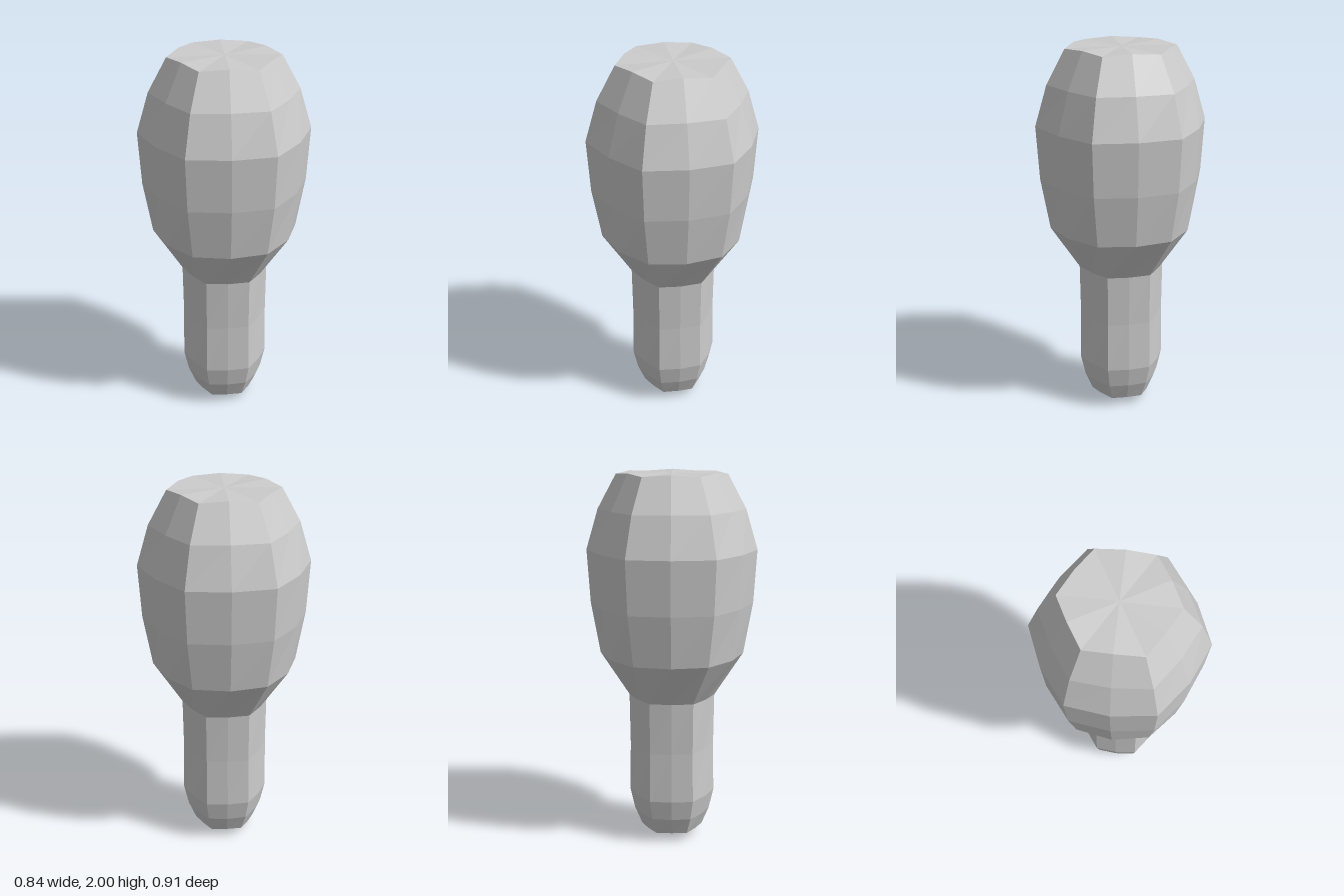
import * as THREE from 'three';

const SIDES = 12;

// Profile rings, bottom to top: [height, radius at the six ridges, radius at panel middles]
const RINGS = [
  [0.015, 0.085, 0.078],
  [0.045, 0.167, 0.15],
  [0.14, 0.207, 0.19],
  [0.25, 0.232, 0.213],
  [0.52, 0.228, 0.205],
  [0.8, 0.232, 0.213],
  [1.035, 0.386, 0.37],
  [1.31, 0.435, 0.408],
  [1.595, 0.453, 0.421],
  [1.81, 0.39, 0.354],
  [1.99, 0.293, 0.26],
];

// Closed surface through a run of rings, with an optional pole at either end
function loft(rings, bottomY, topY) {
  const pos = [];
  const index = [];
  rings.forEach(([y, ridge, middle], r) => {
    for (let i = 0; i < SIDES; i++) {
      const a = (i / SIDES) * Math.PI * 2;
      const rad = i % 2 ? middle : ridge;
      // the panel middles of the rim stand slightly proud of the ridges
      const lift = y === 1.99 && i % 2 ? 0.01 : 0;
      pos.push(Math.sin(a) * rad, y + lift, Math.cos(a) * rad);
    }
    if (r === 0) return;
    for (let i = 0; i < SIDES; i++) {
      const j = (i + 1) % SIDES;
      const a = (r - 1) * SIDES + i, b = (r - 1) * SIDES + j;
      const c = r * SIDES + j, d = r * SIDES + i;
      index.push(a, b, c, a, c, d);
    }
  });
  const addPole = (y, start, up) => {
    const p = pos.length / 3;
    pos.push(0, y, 0);
    for (let i = 0; i < SIDES; i++) {
      const a = start + i, b = start + ((i + 1) % SIDES);
      if (up) index.push(a, b, p);
      else index.push(b, a, p);
    }
  };
  if (bottomY !== undefined) addPole(bottomY, 0, false);
  if (topY !== undefined) addPole(topY, (rings.length - 1) * SIDES, true);
  const geo = new THREE.BufferGeometry();
  geo.setAttribute('position', new THREE.Float32BufferAttribute(pos, 3));
  geo.setIndex(index);
  const flat = geo.toNonIndexed();
  flat.computeVertexNormals();
  return flat;
}

export function createModel() {
  const group = new THREE.Group();
  group.name = 'facetedClub';
  const material = new THREE.MeshStandardMaterial({ color: 0xcccccc, flatShading: true });
  const add = (name, geometry) => {
    const mesh = new THREE.Mesh(geometry, material);
    mesh.name = name;
    group.add(mesh);
  };
  // Handle with its rounded end
  add('handle', loft(RINGS.slice(0, 6), 0));
  // Swelling head with a flat top
  add('head', loft(RINGS.slice(5), undefined, 1.995));
  return group;
}
